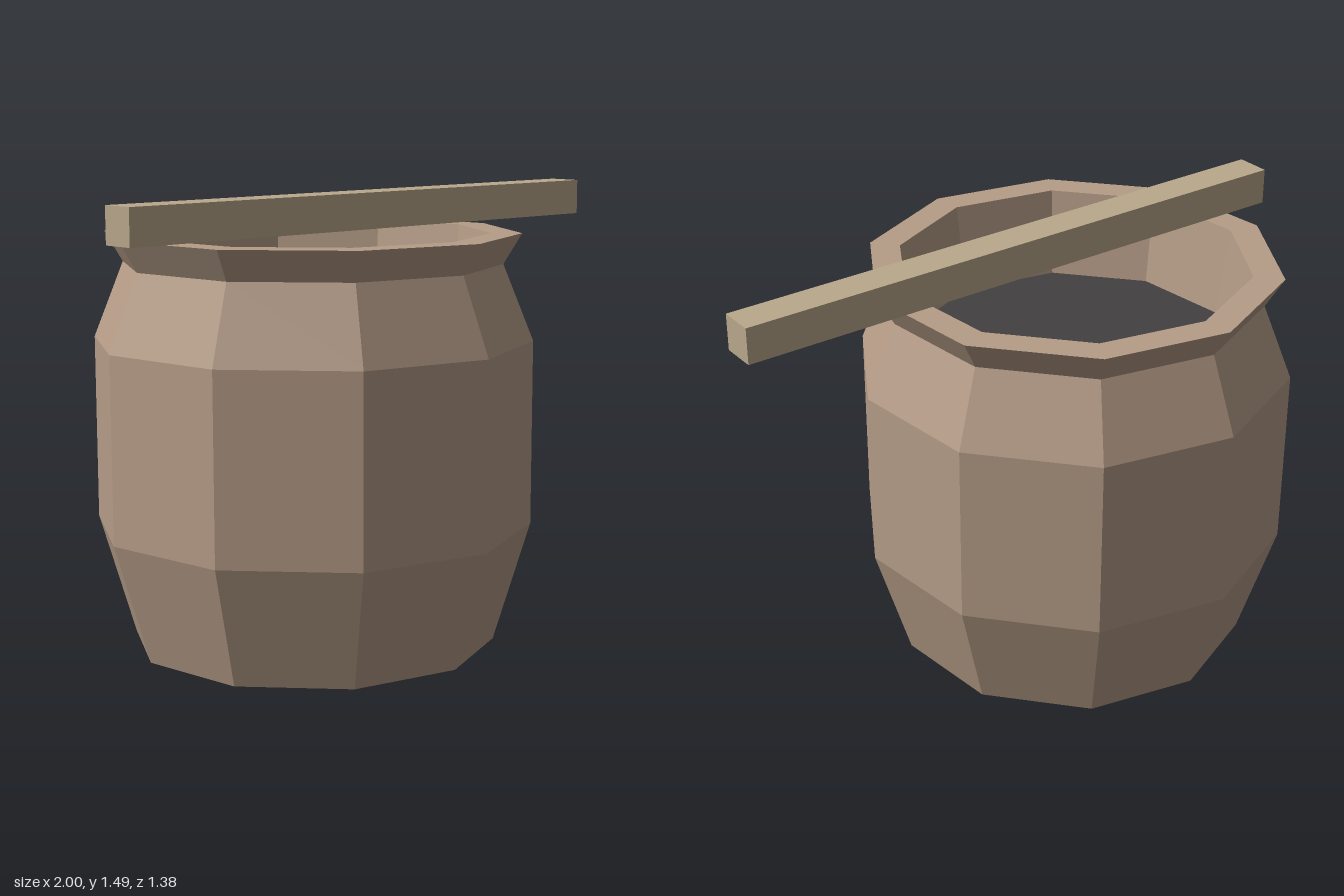
import * as THREE from 'three';

const SIDES = 10;

function material(color) {
  return new THREE.MeshStandardMaterial({ color, flatShading: true });
}

function addMesh(parent, name, geometry, mat) {
  const mesh = new THREE.Mesh(geometry, mat);
  mesh.name = name;
  parent.add(mesh);
  return mesh;
}

export function createModel() {
  const model = new THREE.Group();
  model.name = 'potWithStick';

  const pot = new THREE.Group();
  pot.name = 'pot';
  pot.position.x = -0.205;
  model.add(pot);

  // Ten-sided body: closed base, bulging wall, flared rim and inner wall
  const profile = [
    [0, 0], [0.605, 0], [0.725, 0.4], [0.725, 1.01], [0.625, 1.26],
    [0.685, 1.36], [0.583, 1.36], [0.545, 1.06],
  ].map(([r, y]) => new THREE.Vector2(r, y));
  addMesh(pot, 'potBody', new THREE.LatheGeometry(profile, SIDES, Math.PI / 2), material(0xb59c87));

  // Dark contents filling the pot to just below the neck
  const contents = addMesh(pot, 'contents', new THREE.CircleGeometry(0.545, SIDES), material(0x434041));
  contents.rotation.x = -Math.PI / 2;
  contents.position.y = 1.06;

  // Square stick lying across the rim
  const stick = addMesh(model, 'stick', new THREE.BoxGeometry(2.02, 0.12, 0.118), material(0xbaa98c));
  stick.position.y = 1.425;
  stick.rotation.y = THREE.MathUtils.degToRad(12);

  return model;
}
